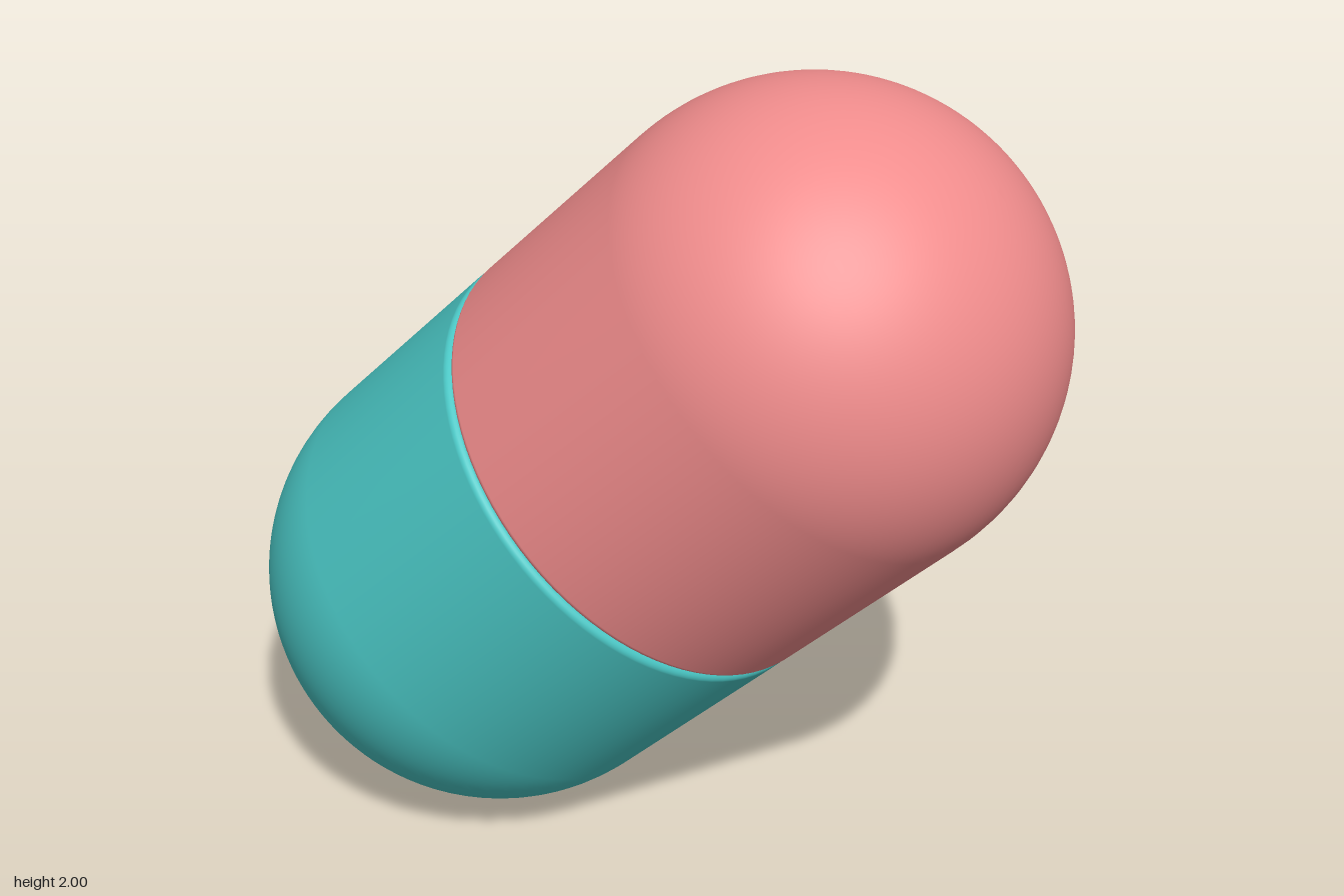
import * as THREE from 'three';

const R = 0.585;      // body radius
const DOME = 0.587;   // distance from the seam to the dome centre
const BEVEL = 0.018;  // rounded rim at the seam
const GAP = 0.002;    // half the gap between the halves

// Closed half shell: seam disc, rounded rim, straight wall, hemispherical end
function halfGeometry() {
  const pts = [new THREE.Vector2(0, GAP), new THREE.Vector2(R - BEVEL * 2, GAP)];
  for (let i = 0; i <= 6; i++) {
    const a = (i / 6) * Math.PI / 2;
    pts.push(new THREE.Vector2(R - BEVEL + BEVEL * Math.sin(a), GAP + BEVEL * (1 - Math.cos(a))));
  }
  pts.push(new THREE.Vector2(R, DOME * 0.5));
  for (let i = 0; i <= 32; i++) {
    const a = (i / 32) * Math.PI / 2;
    pts.push(new THREE.Vector2(i === 32 ? 0 : R * Math.cos(a), DOME + R * Math.sin(a)));
  }
  return new THREE.LatheGeometry(pts, 96);
}

export function createModel() {
  const model = new THREE.Group();
  model.name = 'capsule';
  const geometry = halfGeometry();

  const addHalf = (name, color, flip) => {
    const half = new THREE.Mesh(geometry, new THREE.MeshStandardMaterial({ color }));
    half.name = name;
    half.rotation.x = flip ? Math.PI : 0;
    body.add(half);
  };

  // Body tilted 45 degrees, leaning toward +x
  const body = new THREE.Group();
  body.name = 'capsuleBody';
  body.position.y = 1;
  body.rotation.z = -Math.PI / 4;
  addHalf('upperHalf', 0xf08c8c, false);
  addHalf('lowerHalf', 0x4ac6c4, true);
  model.add(body);
  return model;
}
